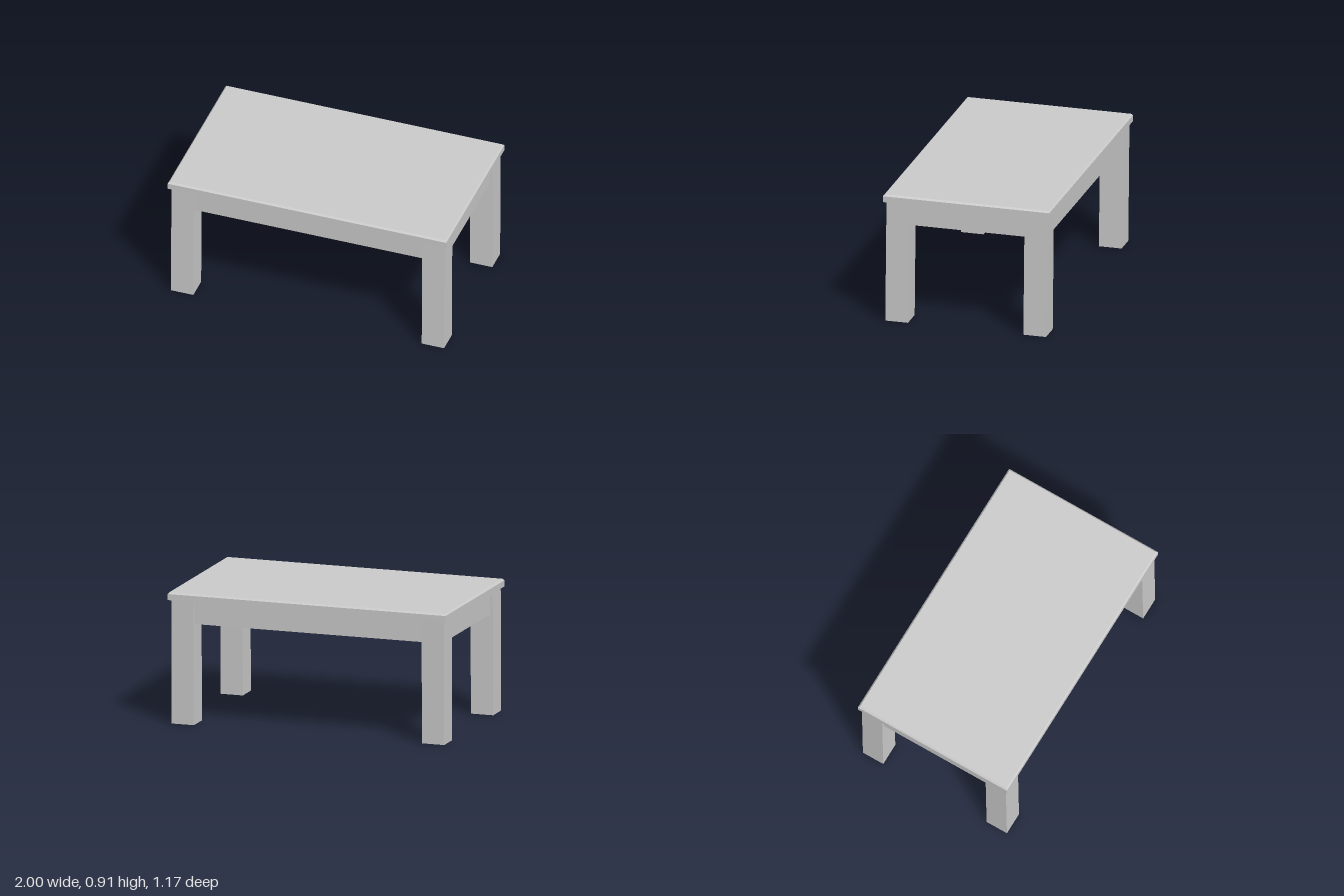
import * as THREE from 'three';

const material = new THREE.MeshStandardMaterial({ color: 0xcccccc, flatShading: true });

const APRON_X = 0.96, APRON_Z = 0.55, THICK = 0.06; // outer faces and board thickness
const UNDER = 0.86;                                 // underside of the tabletop

function part(name, geometry, x = 0, y = 0, z = 0) {
  const mesh = new THREE.Mesh(geometry, material);
  mesh.name = name;
  mesh.position.set(x, y, z);
  return mesh;
}

// Slab with a small chamfer round its upper edge
function tabletopGeometry() {
  const box = new THREE.BoxGeometry(2, 2, 1.174, 1, 2, 1);
  const p = box.attributes.position;
  for (let i = 0; i < p.count; i++) {
    const row = Math.round(p.getY(i)) + 1;
    const inset = row === 2 ? 0.011 : 0;
    p.setXYZ(i,
      p.getX(i) - Math.sign(p.getX(i)) * inset,
      [UNDER, 0.902, 0.914][row],
      p.getZ(i) - Math.sign(p.getZ(i)) * inset);
  }
  const flat = box.toNonIndexed();
  flat.computeVertexNormals();
  return flat;
}

// Square post whose foot sits very slightly forward of its head
function legGeometry() {
  const box = new THREE.BoxGeometry(0.16, UNDER, 0.16).translate(0, UNDER / 2, 0);
  const p = box.attributes.position;
  for (let i = 0; i < p.count; i++) {
    p.setZ(i, p.getZ(i) + 0.0085 * (1 - p.getY(i) / UNDER));
  }
  box.computeVertexNormals();
  return box;
}

// Diagonal block with mitred ends, fitted between two aprons
function braceGeometry(sx, sz) {
  const ix = APRON_X - THICK, iz = APRON_Z - THICK;
  const outline = [[0.59, iz], [ix, 0.18], [ix, 0.258], [0.668, iz]];
  const shape = new THREE.Shape(outline.map(([x, z]) => new THREE.Vector2(sx * x, -sz * z)));
  return new THREE.ExtrudeGeometry(shape, { depth: 0.1, bevelEnabled: false }).rotateX(-Math.PI / 2);
}

export function createModel() {
  const table = new THREE.Group();
  table.name = 'table';
  table.add(part('tabletop', tabletopGeometry()));

  // Aprons, set back a little from the outer faces of the legs
  const apronY = (0.7 + UNDER) / 2, apronH = UNDER - 0.7;
  for (const s of [1, -1]) {
    table.add(part(s > 0 ? 'frontApron' : 'backApron',
      new THREE.BoxGeometry(1.64, apronH, THICK), 0, apronY, s * (APRON_Z - THICK / 2)));
    table.add(part(s > 0 ? 'leftApron' : 'rightApron',
      new THREE.BoxGeometry(THICK, apronH, 0.816), s * (APRON_X - THICK / 2), apronY, 0));
  }

  // A leg and a brace at each corner
  for (const sx of [1, -1]) {
    for (const sz of [1, -1]) {
      const corner = (sz > 0 ? 'front' : 'back') + (sx > 0 ? 'Left' : 'Right');
      table.add(part(corner + 'Leg', legGeometry(), sx * 0.9, 0, sz * 0.487));
      table.add(part(corner + 'Brace', braceGeometry(sx, sz), 0, 0.76, 0));
    }
  }
  return table;
}
